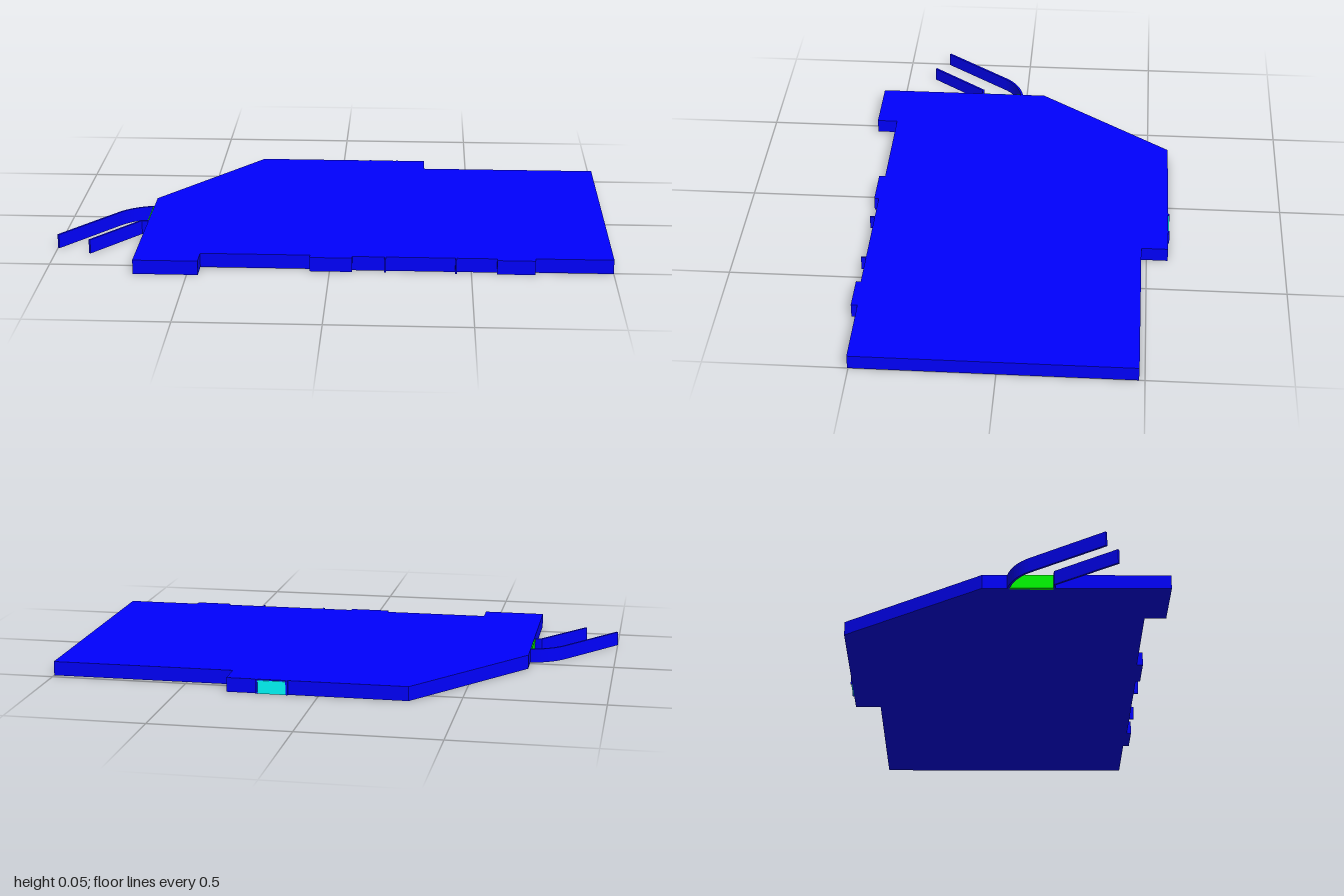
import * as THREE from 'three';

const H = 0.052;
const paint = (color) => new THREE.MeshStandardMaterial({ color, flatShading: true });

// Raise a floor-plan outline of [x, z] points to full height
function raise(name, plan, material, height = H) {
  const shape = new THREE.Shape(plan.map(([x, z]) => new THREE.Vector2(x, -z)));
  const geometry = new THREE.ExtrudeGeometry(shape, { depth: height, bevelEnabled: false });
  geometry.rotateX(-Math.PI / 2);
  const mesh = new THREE.Mesh(geometry, material);
  mesh.name = name;
  return mesh;
}

// Upright rectangular block between two plan corners
function block(name, x0, x1, z0, z1, material, y0 = 0, y1 = H) {
  const mesh = new THREE.Mesh(new THREE.BoxGeometry(x1 - x0, y1 - y0, z1 - z0), material);
  mesh.position.set((x0 + x1) / 2, (y0 + y1) / 2, (z0 + z1) / 2);
  mesh.name = name;
  return mesh;
}

// Thin wall that follows a path of [x, z] points
function thinWall(name, path, material, thickness = 0.008) {
  const pts = path.map(([x, z]) => new THREE.Vector2(x, z));
  const offset = (side) => pts.map((p, i) => {
    const a = pts[Math.max(i - 1, 0)], b = pts[Math.min(i + 1, pts.length - 1)];
    const d = b.clone().sub(a).normalize();
    return [p.x - d.y * side * thickness / 2, p.y + d.x * side * thickness / 2];
  });
  return raise(name, [...offset(1), ...offset(-1).reverse()], material);
}

export function createModel() {
  const model = new THREE.Group();
  model.name = 'buildingSlab';
  const blue = paint(0x0000ff), cyan = paint(0x00ffff), green = paint(0x00ff00);

  // Main volume with chamfered corner, stepped back and projecting front wing
  model.add(raise('mainBody', [
    [-0.69, 0.58], [-0.46, 0.58], [-0.46, 0.503], [1, 0.503], [1, -0.48],
    [0.33, -0.48], [0.33, -0.577], [-0.32, -0.577], [-0.69, -0.075],
  ], blue));

  // Front bays, the shallow panel between them and its fins
  model.add(block('frontBay', -0.07, 0.08, 0.495, 0.526, blue));
  model.add(block('frontBay', 0.59, 0.725, 0.495, 0.526, blue));
  model.add(block('frontPanel', 0.08, 0.59, 0.495, 0.509, blue));
  for (const x of [0.196, 0.446]) {
    model.add(block('frontFin', x - 0.003, x + 0.003, 0.495, 0.527, blue));
  }

  // Back entrance with slim jambs
  model.add(block('backDoor', 0.115, 0.218, -0.581, -0.57, cyan, 0, 0.048));
  for (const x of [0.112, 0.221]) {
    model.add(block('backDoorJamb', x - 0.004, x + 0.004, -0.583, -0.57, blue));
  }

  // Side door, framed by two angled approach walls
  model.add(block('sideDoor', -0.694, -0.68, 0.02, 0.172, green, 0, 0.05));
  const bend = new THREE.CubicBezierCurve(
    new THREE.Vector2(-0.685, 0.015), new THREE.Vector2(-0.735, 0.025),
    new THREE.Vector2(-0.775, 0.045), new THREE.Vector2(-0.808, 0.085));
  const outer = bend.getPoints(10).map((p) => [p.x, p.y]);
  model.add(thinWall('outerApproachWall', [...outer, [-0.997, 0.338]], blue));
  model.add(thinWall('innerApproachWall', [[-0.685, 0.175], [-0.717, 0.176], [-0.875, 0.386]], blue));

  return model;
}
